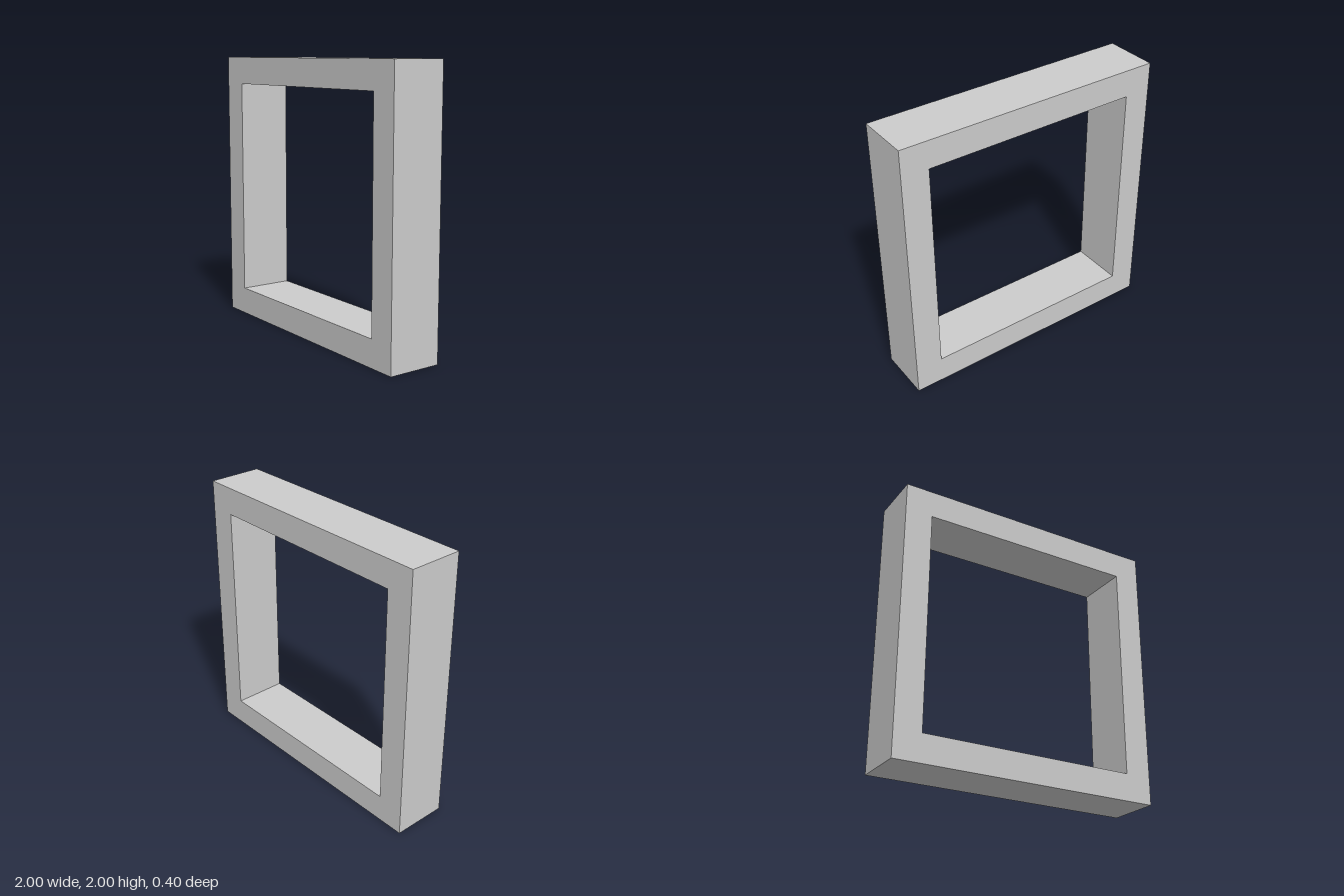
import * as THREE from 'three';

const SIZE = 2, BORDER = 0.2, DEPTH = 0.4;

// Closed rectangle centred on x, from height y0 to y1
function rectangle(PathType, halfWidth, y0, y1) {
  const path = new PathType();
  path.moveTo(-halfWidth, y0);
  path.lineTo(halfWidth, y0);
  path.lineTo(halfWidth, y1);
  path.lineTo(-halfWidth, y1);
  path.closePath();
  return path;
}

export function createModel() {
  const group = new THREE.Group();
  group.name = 'squareFrame';

  // Square outline with a square opening, extruded front to back
  const outline = rectangle(THREE.Shape, SIZE / 2, 0, SIZE);
  outline.holes.push(rectangle(THREE.Path, SIZE / 2 - BORDER, BORDER, SIZE - BORDER));

  const geometry = new THREE.ExtrudeGeometry(outline, { depth: DEPTH, bevelEnabled: false });
  geometry.translate(0, 0, -DEPTH / 2);

  const frame = new THREE.Mesh(
    geometry,
    new THREE.MeshStandardMaterial({ color: 0xcccccc, flatShading: true })
  );
  frame.name = 'frame';
  group.add(frame);
  return group;
}
